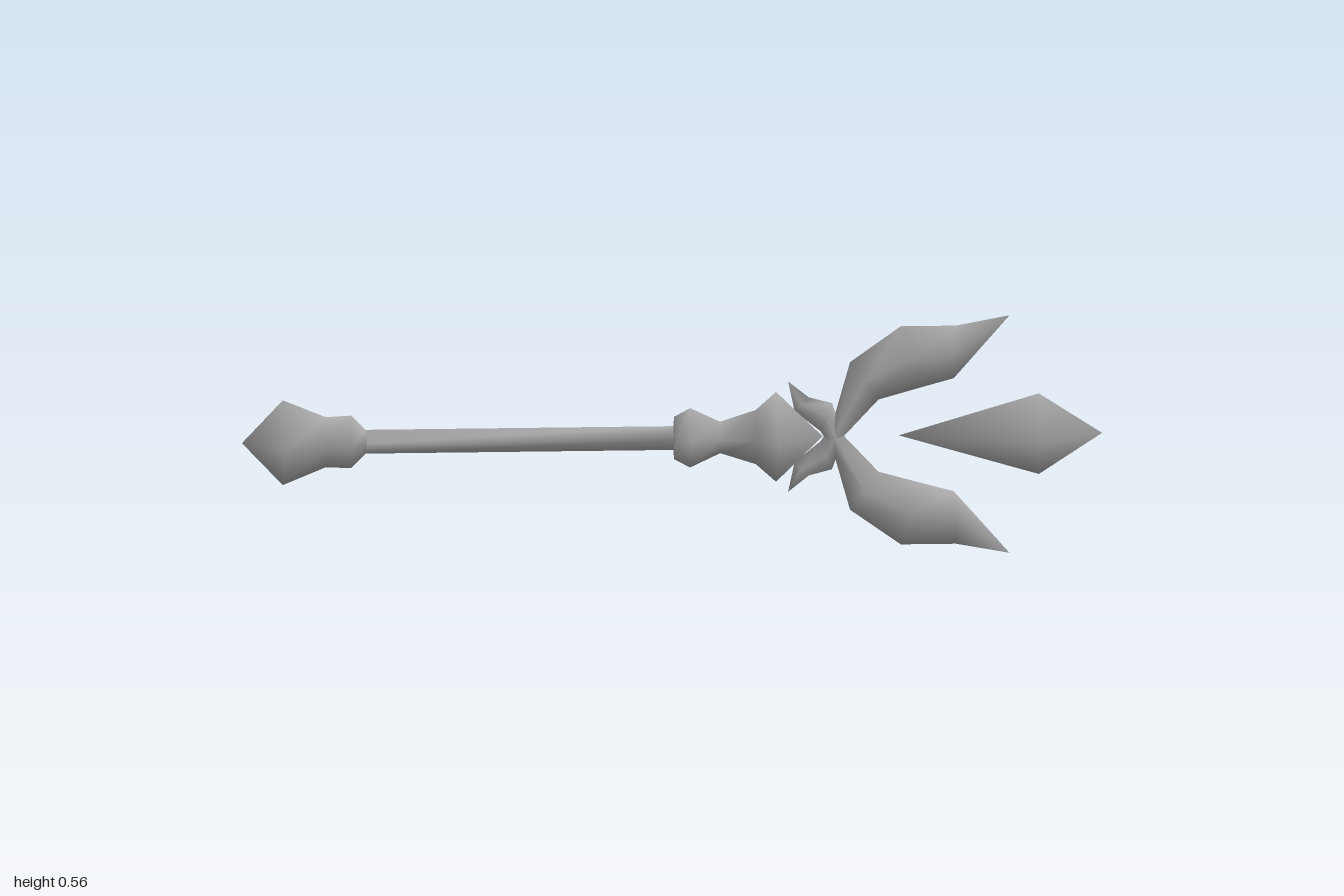
import * as THREE from 'three';
import { mergeVertices } from 'three/addons/utils/BufferGeometryUtils.js';

const AXIS = 0.28; // height of the staff's centre line

// Skin four-cornered rings together; each ring lists its top, +z, bottom and -z corners.
function loft(rings) {
  const index = [];
  for (let i = 0; i < rings.length - 1; i++) {
    for (let j = 0; j < 4; j++) {
      const a = i * 4 + j, b = i * 4 + (j + 1) % 4;
      index.push(a, b, a + 4, b, b + 4, a + 4);
    }
  }
  const geometry = new THREE.BufferGeometry();
  geometry.setAttribute('position', new THREE.Float32BufferAttribute(rings.flat(2), 3));
  geometry.setIndex(index);
  const welded = mergeVertices(geometry, 1e-5); // joins the points of each tip
  welded.computeVertexNormals();
  return welded;
}

// Diamond ring square to the staff: position, half height, half depth
const diamond = ([x, ry, rz = ry]) => [[x, ry, 0], [x, 0, rz], [x, -ry, 0], [x, 0, -rz]];

// Slanted blade ring: outer edge point, inner edge point, half depth
const bladeRing = ([ox, oy, ix, iy, rz]) => {
  const mx = (ox + ix) / 2, my = (oy + iy) / 2;
  return [[ox, oy, 0], [mx, my, rz], [ix, iy, 0], [mx, my, -rz]];
};

export function createModel() {
  const model = new THREE.Group();
  model.name = 'staff';
  const stone = new THREE.MeshStandardMaterial({ color: 0xa8a8a8 });
  stone.name = 'grey';

  const add = (name, rings) => {
    const mesh = new THREE.Mesh(loft(rings), stone);
    mesh.name = name;
    mesh.position.y = AXIS;
    model.add(mesh);
    return mesh;
  };

  add('pommel', [[-1, 0], [-0.905, 0.1], [-0.805, 0.059], [-0.746, 0.062], [-0.712, 0.028]].map(diamond));
  add('shaft', [[-0.712, 0.028], [0.005, 0.028]].map(diamond));
  add('collar', [
    [0.003, 0.028], [0.005, 0.05], [0.042, 0.07], [0.112, 0.037],
    [0.195, 0.064], [0.242, 0.106], [0.35, 0],
  ].map(diamond));
  add('headCrystal', [[0.527, 0], [0.853, 0.095, 0.13], [1, 0]].map(diamond));

  // Two curved blades crossing at the collar, with short barbs behind
  const blade = [
    [0.27, -0.13, 0.27, -0.13, 0],
    [0.285, -0.06, 0.318, -0.092, 0.004],
    [0.345, -0.012, 0.372, -0.078, 0.008],
    [0.373, 0.03, 0.4, 0, 0.012],
    [0.414, 0.174, 0.48, 0.085, 0.02],
    [0.532, 0.257, 0.57, 0.11, 0.028],
    [0.66, 0.257, 0.655, 0.133, 0.032],
    [0.785, 0.28, 0.785, 0.28, 0],
  ].map(bladeRing);
  add('upperBlade', blade);
  add('lowerBlade', blade).rotation.x = Math.PI;

  return model;
}
